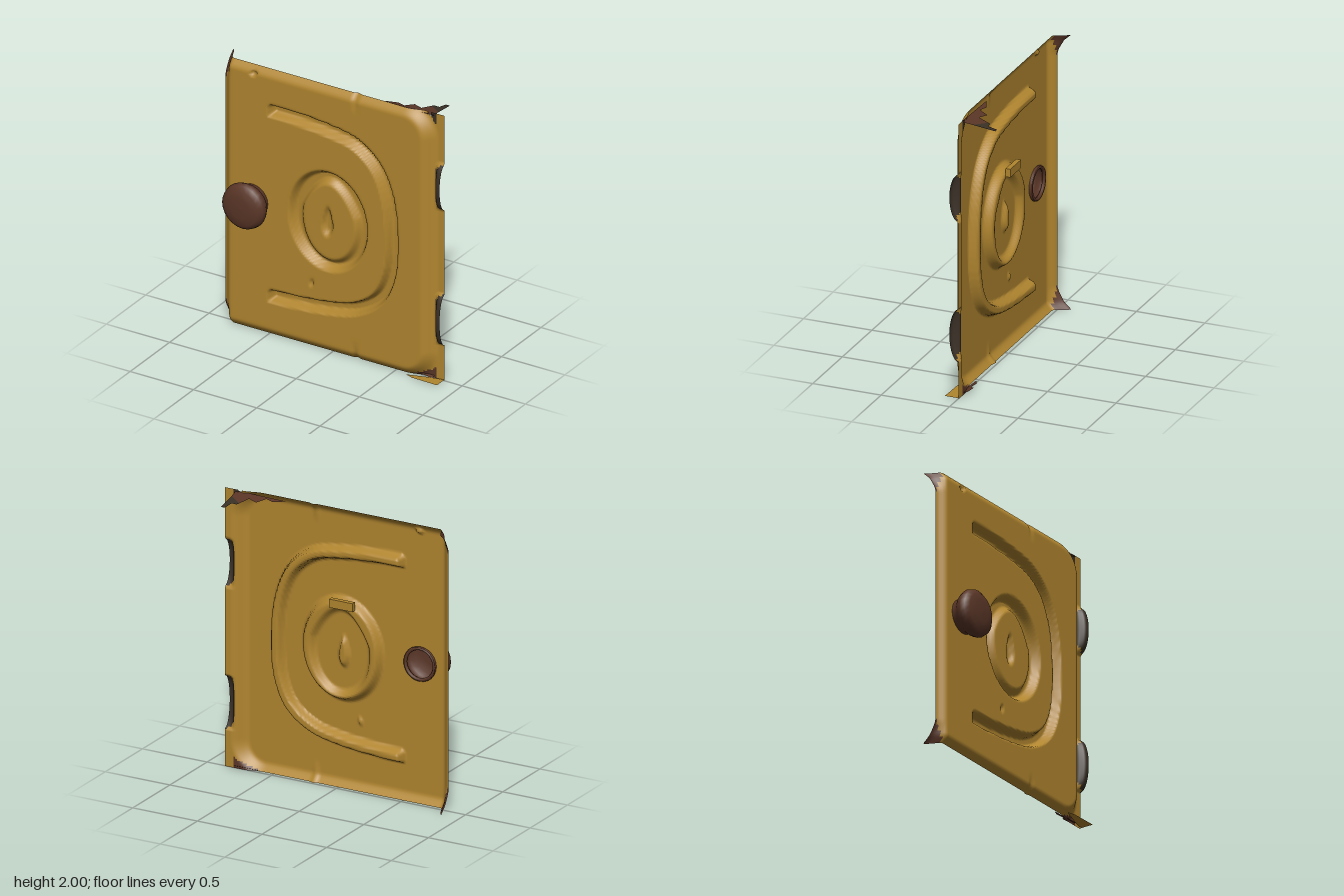
import * as THREE from 'three';

const mat = (name, color, side = THREE.DoubleSide) => {
  const m = new THREE.MeshStandardMaterial({ color, side });
  m.name = name;
  return m;
};
const smooth = THREE.MathUtils.smoothstep;
const HALF = 0.86, NX = 130, NY = 150;
const KNOB = { x: -0.615, y: 0.99 };

// centre line of the C-shaped pressed channel
const channel = new THREE.CatmullRomCurve3([
  [-0.6, 1.70], [-0.3, 1.70], [0, 1.675], [0.2, 1.63], [0.36, 1.5], [0.45, 1.3], [0.485, 1.0],
  [0.46, 0.7], [0.37, 0.51], [0.2, 0.39], [0, 0.34], [-0.3, 0.31], [-0.6, 0.30],
].map(([x, y]) => new THREE.Vector3(x, y, 0))).getPoints(70);

function channelDistance(x, y) {
  let best = 9;
  for (let i = 1; i < channel.length; i++) {
    const a = channel[i - 1], b = channel[i];
    const dx = b.x - a.x, dy = b.y - a.y;
    const t = THREE.MathUtils.clamp(((x - a.x) * dx + (y - a.y) * dy) / (dx * dx + dy * dy), 0, 1);
    best = Math.min(best, Math.hypot(x - a.x - t * dx, y - a.y - t * dy));
  }
  return best;
}

// signed distance to the rounded right-hand outline of the raised panel
function outline(x, y) {
  const r = 0.25;
  const qx = x - (0.815 - r), qy = Math.abs(y - 1) - (1.05 - r);
  return Math.hypot(Math.max(qx, 0), Math.max(qy, 0)) + Math.min(Math.max(qx, qy), 0) - r;
}

// worn stretches of the right flange, 0 outside and 1 in the middle
const worn = (y) => Math.max(0, 1 - ((y - 1.46) / 0.17) ** 2, 1 - ((y - 0.46) / 0.19) ** 2);

function depth(x, y) {
  let z = 0.066;
  // rolled edges
  z -= 0.07 * smooth(outline(x, y), -0.11, 0);
  z -= 0.05 * smooth(-x, 0.79, HALF);
  z -= 0.06 * smooth(-x, 0.79, HALF) * smooth(Math.abs(y - 1), 0.84, 1);
  // flange rising where it is worn
  z += 0.066 * Math.sqrt(worn(y)) * smooth(x, 0.79, 0.83);
  // C channel with square ends
  z -= 0.062 * (1 - smooth(channelDistance(x, y), 0.022, 0.05)) * smooth(x, -0.495, -0.47);
  // oval ring channel around an egg-shaped plateau
  const outer = Math.hypot((x + 0.02) / 0.315, (y - 0.99) / 0.38);
  const egg = 0.235 - 0.25 * Math.max(0, y - 1.05);
  const inner = Math.hypot((x + 0.02) / egg, (y - 0.98) / 0.32);
  z -= 0.06 * (1 - smooth(outer, 0.88, 1)) - 0.045 * (1 - smooth(inner, 0.85, 1.02));
  // keyhole dent and small dings
  const w = 0.048 - 0.16 * Math.max(0, y - 0.95);
  const key = Math.hypot((x + 0.035) / Math.max(w, 0.014), (y - 0.96) / (y > 0.96 ? 0.15 : 0.11));
  z -= 0.03 * (1 - smooth(key, 0.5, 1));
  z -= 0.015 * (1 - smooth(Math.hypot((x + 0.15) / 0.02, (y - 0.49) / 0.04), 0.2, 1));
  z -= 0.025 * (1 - smooth(Math.hypot((x + 0.61) / 0.035, (y - 1.945) / 0.02), 0.4, 1));
  // crease running in from the top and bottom
  z -= 0.014 * Math.max(0, 1 - Math.abs(x - 0.19) / 0.03) * smooth(Math.abs(y - 1), 0.84, 1);
  return z;
}

// 0 paint, 1 rust, 2 dark metal, -1 hole
function paintAt(x, y) {
  if (Math.hypot(x - KNOB.x, y - KNOB.y) < 0.105) return -1;
  if (x > 0.8 && worn(y) > ((HALF - x) / 0.06) ** 2 * 0.5) return 2;
  if (x < 0.79 && outline(x, y) > 0) {
    if (y > 1.96 && x > 0.72 && x < 0.76) return -1;
    return y > 1 ? 2 : 1;
  }
  if (y < 0.07 && x > 0.6 && x < 0.78 && y < (x - 0.6) * 0.35) return 1;
  if (-x - 0.8 > 0 && Math.abs(y - 1) - 0.82 > (HALF + x) * 3) return 1;
  return 0;
}

// pressed sheet as a grid, sorted into one group per colour
function sheetGeometry() {
  const pos = [], faces = [[], [], []];
  for (let j = 0; j <= NY; j++) for (let i = 0; i <= NX; i++) {
    const x = -HALF + 2 * HALF * i / NX, y = 2 * j / NY;
    pos.push(x, y, depth(x, y));
  }
  for (let j = 0; j < NY; j++) for (let i = 0; i < NX; i++) {
    const p = paintAt(-HALF + 2 * HALF * (i + 0.5) / NX, 2 * (j + 0.5) / NY);
    if (p < 0) continue;
    const a = j * (NX + 1) + i, c = a + NX + 1;
    faces[p].push(a, a + 1, c + 1, a, c + 1, c);
  }
  const g = new THREE.BufferGeometry();
  g.setAttribute('position', new THREE.Float32BufferAttribute(pos, 3));
  g.setIndex(faces.flat());
  let start = 0;
  faces.forEach((f, k) => { g.addGroup(start, f.length, k); start += f.length; });
  g.computeVertexNormals();
  return g;
}

// flat torn plate: outline in (x, z), height falling with distance behind the panel
function shard(points, height, slope) {
  const g = new THREE.ShapeGeometry(new THREE.Shape(points.map(([x, z]) => new THREE.Vector2(x, z))));
  const p = g.attributes.position;
  for (let i = 0; i < p.count; i++) {
    const z = p.getY(i);
    p.setXYZ(i, p.getX(i), height + slope * z, z);
  }
  g.computeVertexNormals();
  return g;
}

export function createModel() {
  const group = new THREE.Group();
  const paint = mat('ochrePaint', 0xb0852f);
  const rust = mat('rustBrown', 0x5a3627);
  const dark = mat('darkMetal', 0x3a3026);
  const add = (name, geometry, material) => {
    const m = new THREE.Mesh(geometry, material);
    m.name = name;
    group.add(m);
    return m;
  };

  add('pressedPanel', sheetGeometry(), [paint, rust, dark]);

  // hollow round knob, open through the back of the panel
  const profile = [[0.122, 0.045], [0.122, 0.06], [0.12, 0.09], [0.152, 0.125], [0.168, 0.16],
    [0.16, 0.195], [0.13, 0.218], [0.07, 0.228], [0, 0.23]];
  const knob = add('knob', new THREE.LatheGeometry(profile.map(([r, y]) => new THREE.Vector2(r, y)), 24), rust);
  knob.rotation.x = Math.PI / 2;
  knob.position.set(KNOB.x, KNOB.y, 0);
  const rim = add('knobRim', new THREE.TorusGeometry(0.112, 0.013, 6, 24), rust);
  rim.position.set(KNOB.x, KNOB.y, 0.055);

  // raised tab on the back of the ring
  const tab = add('ringTab', new THREE.BoxGeometry(0.18, 0.06, 0.035), paint);
  tab.position.set(-0.05, 1.33, -0.011);

  // torn metal at the top right corner
  add('tornEdge', shard([[0.38, 0.0], [0.47, -0.04], [0.53, -0.02], [0.57, -0.09], [0.64, -0.06],
    [0.67, -0.14], [0.70, -0.12], [0.77, -0.07], [0.78, 0.01]], 1.985, 0.15), rust);
  add('tornTip', shard([[0.67, -0.14], [0.68, -0.16], [0.72, -0.16], [0.73, -0.23], [0.76, -0.23],
    [0.77, -0.07], [0.70, -0.12]], 1.985, 0.15), dark);

  // bent metal at the bottom right corner
  add('bottomShard', shard([[0.55, 0.0], [0.62, -0.035], [0.68, -0.02], [0.72, -0.055], [0.78, -0.04],
    [0.78, 0.02]], 0.015, -0.4), rust);
  add('bottomLip', shard([[0.6, 0.07], [0.66, 0.09], [0.86, 0.095], [0.86, 0], [0.76, 0.02]], 0.008, 0), paint);
  return group;
}
